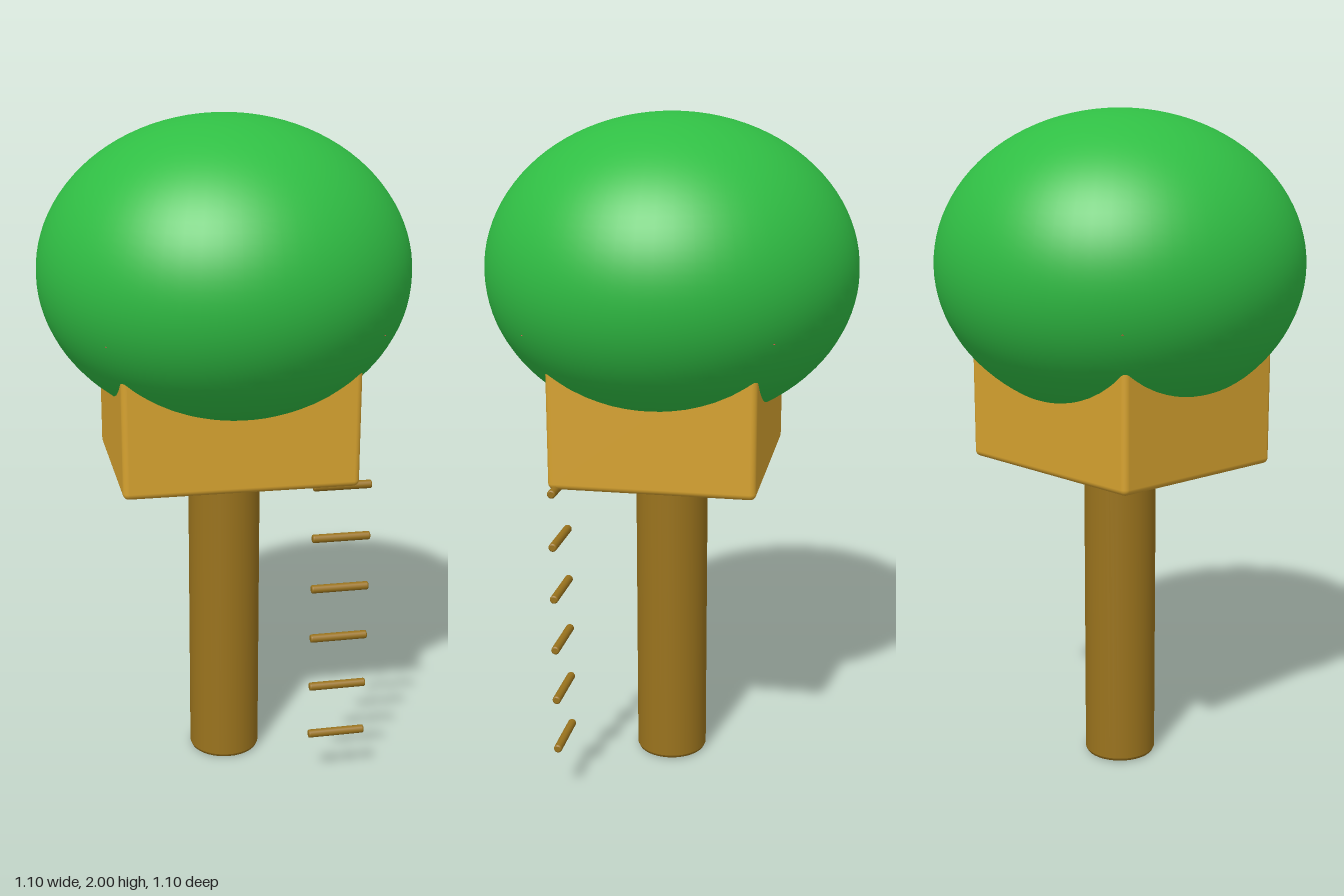
import * as THREE from 'three';
import { RoundedBoxGeometry } from 'three/addons/geometries/RoundedBoxGeometry.js';

const material = (name, color) => {
  const m = new THREE.MeshStandardMaterial({ color });
  m.name = name;
  return m;
};

export function createModel() {
  const group = new THREE.Group();
  group.name = 'treeHouse';
  const leafGreen = material('leaf green', 0x30be44);
  const plankGold = material('plank gold', 0xd6a22f);
  const barkBrown = material('bark brown', 0x9a731d);
  const roofRed = material('roof red', 0xc23a2b);

  const add = (name, geometry, mat, x, y, z) => {
    const mesh = new THREE.Mesh(geometry, mat);
    mesh.name = name;
    mesh.position.set(x, y, z);
    group.add(mesh);
    return mesh;
  };

  // Round bar along y with softened rims
  const bar = (radius, length, bevel, segments) => {
    const h = length / 2;
    const c = bevel * 0.3;
    const points = [
      [0, -h], [radius - bevel, -h], [radius - bevel, -h], [radius - c, -h + c],
      [radius, -h + bevel], [radius, -h + bevel], [radius, h - bevel], [radius, h - bevel],
      [radius - c, h - c], [radius - bevel, h], [radius - bevel, h], [0, h],
    ].map(([x, y]) => new THREE.Vector2(x, y));
    return new THREE.LatheGeometry(points, segments);
  };

  // Trunk
  add('trunk', bar(0.11, 1.1, 0.012, 48), barkBrown, 0, 0.55, 0);

  // Cabin, its upper part buried in the foliage
  add('cabin', new RoundedBoxGeometry(0.69, 0.46, 0.6, 4, 0.018), plankGold, 0, 1.185, 0);

  // Four-sided roof inside the foliage
  const roof = new THREE.ConeGeometry(Math.SQRT1_2, 0.3, 4, 1).toNonIndexed();
  roof.rotateY(Math.PI / 4);
  roof.scale(0.78, 1, 0.7);
  roof.computeVertexNormals();
  add('roof', roof, roofRed, 0, 1.56, 0);

  // Foliage
  const foliage = add('foliage', new THREE.SphereGeometry(1, 64, 48), leafGreen, 0, 1.55, 0);
  foliage.scale.set(0.548, 0.45, 0.548);

  // Ladder rungs
  const rung = bar(0.0125, 0.175, 0.004, 16);
  rung.rotateZ(Math.PI / 2);
  for (let i = 0; i < 6; i++) {
    add('rung' + (i + 1), rung, barkBrown, 0.298, 0.155 + i * 0.16, 0.277);
  }

  return group;
}
